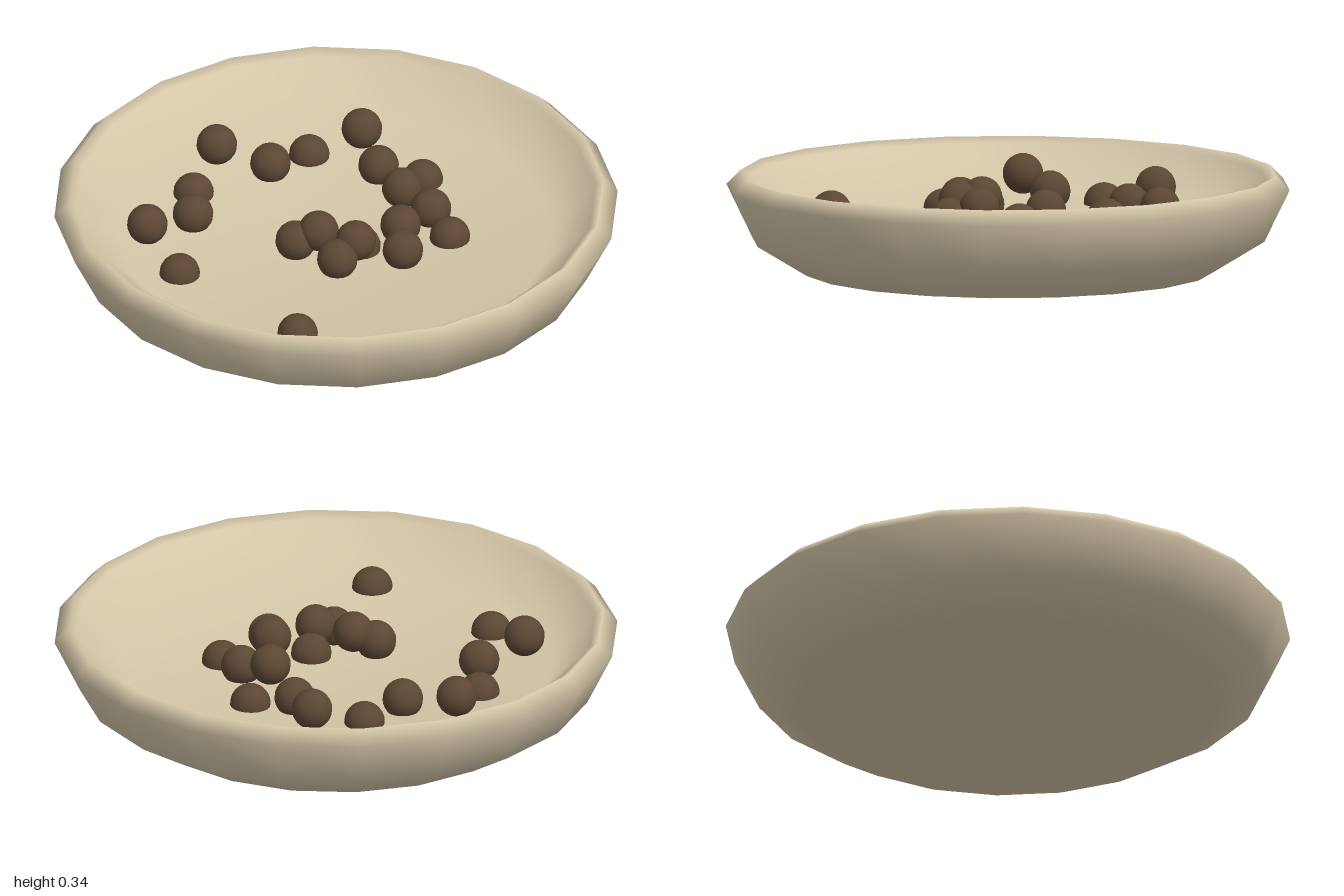
import * as THREE from 'three';

export function createModel() {
  const group = new THREE.Group();
  const clay = new THREE.MeshStandardMaterial({ color: 0xd4c6a8 });
  clay.name = 'cream ceramic';
  const brown = new THREE.MeshStandardMaterial({ color: 0x5c4633 });
  brown.name = 'dark brown';

  // Shallow dish: underside, flared wall, rim, then back down to the raised inner floor
  const profile = [
    [0, 0], [0.73, 0], [0.91, 0.11], [1, 0.295], [0.95, 0.345],
    [0.92, 0.325], [0.77, 0.175], [0, 0.16],
  ].map(([r, y]) => new THREE.Vector2(r, y));
  const bowl = new THREE.Mesh(new THREE.LatheGeometry(profile, 20), clay);
  bowl.name = 'bowl';
  group.add(bowl);

  // Round pieces lying in the dish, grouped by height as [x, z]
  const layers = [
    { y: 0.25, at: [[-0.365, -0.437], [0.02, -0.292], [0.198, -0.131], [0.172, 0.056],
      [0.038, 0.115], [-0.622, 0.019], [-0.391, 0.544]] },
    { y: 0.213, at: [[-0.188, -0.362], [0.145, -0.319], [0.284, -0.067], [0.177, 0.147],
      [-0.01, 0.18], [-0.45, -0.083], [-0.38, 0.34]] },
    { y: 0.176, at: [[-0.06, -0.458], [-0.445, -0.26], [0.284, -0.287], [0.123, -0.008],
      [-0.525, 0.212], [-0.161, 0.592], [0.408, 0.533]] },
  ];
  const balls = new THREE.Group();
  balls.name = 'balls';
  const ballGeometry = new THREE.SphereGeometry(0.072, 20, 14);
  for (const { y, at } of layers) {
    for (const [x, z] of at) {
      const ball = new THREE.Mesh(ballGeometry, brown);
      ball.name = 'ball';
      ball.position.set(x, y, z);
      balls.add(ball);
    }
  }
  group.add(balls);
  return group;
}
